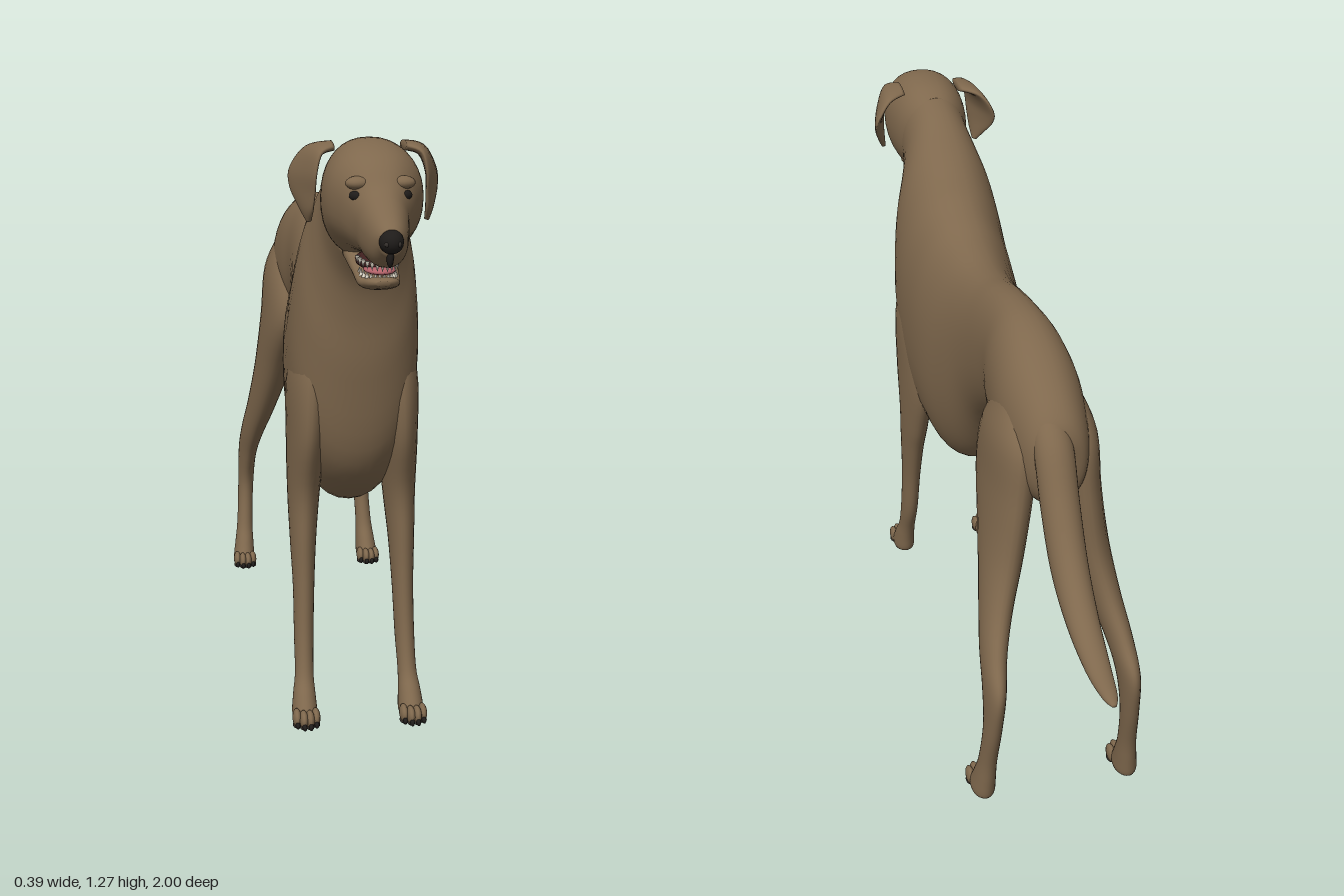
import * as THREE from 'three';

const mat = (name, color) => Object.assign(new THREE.MeshStandardMaterial({ color }), { name });
const coat = mat('brown coat', 0x7f684d);
const black = mat('nose and claw black', 0x1f1c1a);
const pad = mat('paw pad grey', 0x35302c);
const dusk = mat('dusky skin', 0x50463c);
const mouth = mat('mouth dark red', 0x40201f);
const pink = mat('tongue pink', 0xb3636a);
const ivory = mat('tooth ivory', 0xe6dfcf);

// Skin over oval rings. Row: edge point a (x,y,z), opposite edge point b (x,y,z), half width.
function loft(rows, { steps = 5, sides = 28, power = 1 } = {}) {
  const at = (i) => rows[Math.max(0, Math.min(rows.length - 1, i))];
  const rings = [];
  for (let s = 0; s <= (rows.length - 1) * steps; s++) {
    const i = Math.min(Math.floor(s / steps), rows.length - 2), t = s / steps - i;
    rings.push(rows[0].map((_, k) => {
      const [p, q, r, u] = [at(i - 1)[k], at(i)[k], at(i + 1)[k], at(i + 2)[k]];
      return q + 0.5 * t * (r - p + t * (2 * p - 5 * q + 4 * r - u + t * (3 * (q - r) + u - p)));
    }));
  }
  const A = rings.map((r) => new THREE.Vector3(r[0], r[1], r[2]));
  const B = rings.map((r) => new THREE.Vector3(r[3], r[4], r[5]));
  const C = A.map((a, i) => a.clone().add(B[i]).multiplyScalar(0.5));
  const pos = [], idx = [], n = rings.length;
  const bend = (v) => Math.sign(v) * Math.abs(v) ** power;
  for (let i = 0; i < n; i++) {
    const along = C[Math.min(n - 1, i + 1)].clone().sub(C[Math.max(0, i - 1)]);
    const half = A[i].clone().sub(C[i]);
    const side = along.cross(half).normalize().multiplyScalar(Math.max(rings[i][6], 0.001));
    for (let j = 0; j < sides; j++) {
      const th = (j / sides) * Math.PI * 2;
      const p = C[i].clone().addScaledVector(half, bend(Math.cos(th))).addScaledVector(side, bend(Math.sin(th)));
      pos.push(p.x, p.y, p.z);
      if (i < n - 1) {
        const k = (j + 1) % sides, a = i * sides + j, b = i * sides + k;
        idx.push(a, b, b + sides, a, b + sides, a + sides);
      }
    }
  }
  // closing caps
  const last = (n - 1) * sides;
  pos.push(...C[0].toArray(), ...C[n - 1].toArray());
  for (let j = 0; j < sides; j++) {
    const k = (j + 1) % sides;
    idx.push(n * sides, k, j, n * sides + 1, last + j, last + k);
  }
  const g = new THREE.BufferGeometry();
  g.setAttribute('position', new THREE.Float32BufferAttribute(pos, 3));
  g.setIndex(idx);
  g.computeVertexNormals();
  return g;
}

// Row helpers: [z, y] of both edges on one x plane
const mid = ([za, ya, zb, yb, w], x = 0) => [x, ya, za, x, yb, zb, w];
const limb = ([x, yf, zf, yb, zb, w], s) => [s * x, yf, zf, s * x, yb, zb, w];

export function createModel() {
  const dog = new THREE.Group();
  dog.name = 'dog';
  const add = (name, geo, material, parent = dog) => {
    const m = new THREE.Mesh(geo, material);
    m.name = name;
    parent.add(m);
    return m;
  };
  const blob = (name, material, p, s, parent = dog) => {
    const m = add(name, new THREE.SphereGeometry(1, 16, 12), material, parent);
    m.position.set(...p);
    m.scale.set(...s);
    return m;
  };

  // Trunk and neck, rump to nape
  add('body', loft([
    [-0.565, 0.86, -0.56, 0.80, 0.03], [-0.55, 0.90, -0.55, 0.72, 0.06],
    [-0.5, 0.945, -0.5, 0.69, 0.08], [-0.4, 1.0, -0.4, 0.69, 0.095],
    [-0.3, 1.03, -0.28, 0.72, 0.09], [-0.2, 1.033, -0.2, 0.735, 0.078],
    [-0.1, 1.02, -0.1, 0.70, 0.08], [0, 1.0, 0, 0.63, 0.09],
    [0.1, 0.995, 0.1, 0.50, 0.108], [0.2, 1.01, 0.18, 0.447, 0.125],
    [0.27, 1.035, 0.27, 0.437, 0.134], [0.33, 1.065, 0.40, 0.455, 0.138],
    [0.38, 1.11, 0.52, 0.56, 0.136], [0.43, 1.15, 0.565, 0.75, 0.122],
    [0.48, 1.19, 0.58, 0.88, 0.1], [0.53, 1.22, 0.60, 0.96, 0.085],
    [0.58, 1.24, 0.64, 1.02, 0.08],
  ].map((r) => mid(r)), { sides: 40, power: 0.92 }), coat);

  // Skull and muzzle
  add('head', loft([
    [0.55, 1.225, 0.57, 1.05, 0.065], [0.62, 1.257, 0.62, 1.03, 0.088],
    [0.70, 1.266, 0.69, 1.03, 0.098], [0.77, 1.255, 0.74, 1.048, 0.094],
    [0.82, 1.23, 0.79, 1.053, 0.074], [0.86, 1.19, 0.83, 1.052, 0.054],
    [0.90, 1.168, 0.88, 1.047, 0.046], [0.955, 1.143, 0.93, 1.052, 0.035],
    [0.978, 1.128, 0.965, 1.08, 0.022],
  ].map((r) => mid(r)), { sides: 36, power: 0.9 }), coat);
  add('lowerJaw', loft([
    [0.69, 1.07, 0.68, 1.02, 0.055], [0.76, 1.037, 0.75, 1.004, 0.046],
    [0.82, 1.02, 0.81, 0.99, 0.041], [0.86, 1.021, 0.855, 0.998, 0.031],
    [0.877, 1.016, 0.875, 1.006, 0.012],
  ].map((r) => mid(r)), { power: 0.85 }), coat);
  blob('mouthInterior', mouth, [0, 1.04, 0.775], [0.04, 0.018, 0.07]);
  blob('tongue', pink, [0, 1.03, 0.82], [0.031, 0.009, 0.05]);
  blob('nose', black, [0, 1.106, 0.973], [0.023, 0.023, 0.027]);
  blob('philtrum', black, [0, 1.077, 0.957], [0.007, 0.022, 0.014]);

  // Teeth along both jaws
  const toothGeo = new THREE.ConeGeometry(0.005, 0.016, 6);
  for (let i = 0; i < 14; i++) {
    const a = (i / 13) * Math.PI, x = Math.cos(a), z = Math.sin(a);
    add('upperTooth', toothGeo, ivory).position.set(0.038 * x, 1.044, 0.79 + 0.105 * z);
    const upper = dog.children[dog.children.length - 1];
    upper.rotation.x = Math.PI;
    add('lowerTooth', toothGeo, ivory).position.set(0.034 * x, 1.023, 0.79 + 0.07 * z);
  }

  // Tail
  add('tail', loft([
    [-0.49, 0.945, -0.49, 0.85, 0.04], [-0.58, 0.87, -0.53, 0.80, 0.042],
    [-0.64, 0.77, -0.57, 0.71, 0.041], [-0.71, 0.67, -0.65, 0.60, 0.039],
    [-0.80, 0.59, -0.76, 0.538, 0.034], [-0.90, 0.541, -0.88, 0.505, 0.026],
    [-0.97, 0.522, -0.965, 0.50, 0.016], [-0.999, 0.512, -0.998, 0.505, 0.005],
  ].map((r) => mid(r, 0.012))), coat);

  // Underbelly sheath
  add('sheath', loft([
    [-0.22, 0.745, -0.22, 0.71, 0.02], [-0.16, 0.73, -0.16, 0.685, 0.022],
    [-0.11, 0.71, -0.115, 0.655, 0.018], [-0.088, 0.68, -0.09, 0.658, 0.008],
  ].map((r) => mid(r))), dusk);

  const foreleg = [
    [0.08, 0.87, 0.49, 0.85, 0.35, 0.025], [0.093, 0.75, 0.53, 0.73, 0.30, 0.045],
    [0.099, 0.62, 0.53, 0.58, 0.29, 0.041], [0.104, 0.49, 0.485, 0.45, 0.335, 0.034],
    [0.107, 0.38, 0.482, 0.37, 0.372, 0.028], [0.108, 0.28, 0.487, 0.27, 0.408, 0.023],
    [0.11, 0.18, 0.50, 0.16, 0.435, 0.021], [0.112, 0.10, 0.522, 0.09, 0.468, 0.020],
    [0.114, 0.06, 0.55, 0.05, 0.482, 0.024], [0.115, 0.025, 0.575, 0.015, 0.49, 0.027],
    [0.115, 0.005, 0.57, 0.005, 0.50, 0.023],
  ];
  const hindleg = [
    [0.05, 0.92, -0.36, 0.89, -0.47, 0.03], [0.064, 0.82, -0.27, 0.82, -0.53, 0.052],
    [0.075, 0.71, -0.245, 0.70, -0.537, 0.052], [0.095, 0.58, -0.33, 0.56, -0.54, 0.045],
    [0.12, 0.45, -0.42, 0.46, -0.565, 0.035], [0.14, 0.36, -0.49, 0.38, -0.61, 0.028],
    [0.15, 0.29, -0.54, 0.31, -0.657, 0.023], [0.155, 0.21, -0.572, 0.21, -0.64, 0.02],
    [0.16, 0.11, -0.555, 0.11, -0.61, 0.02], [0.163, 0.06, -0.53, 0.05, -0.60, 0.024],
    [0.165, 0.025, -0.51, 0.015, -0.595, 0.027], [0.165, 0.005, -0.515, 0.005, -0.59, 0.023],
  ];
  const ear = [
    [0.07, 1.248, 0.69, 0.07, 1.245, 0.61, 0.01], [0.098, 1.238, 0.712, 0.115, 1.235, 0.58, 0.011],
    [0.108, 1.20, 0.718, 0.145, 1.195, 0.566, 0.01], [0.11, 1.16, 0.706, 0.147, 1.16, 0.585, 0.009],
    [0.113, 1.125, 0.692, 0.132, 1.125, 0.622, 0.008], [0.115, 1.10, 0.667, 0.119, 1.10, 0.648, 0.005],
  ];

  // Toes, claws and pads; z is the paw's centre
  const paw = (name, x, z) => {
    const g = new THREE.Group();
    g.name = name;
    g.position.set(x, 0, z);
    dog.add(g);
    for (const t of [-1.5, -0.5, 0.5, 1.5]) {
      const tz = Math.abs(t) < 1 ? 0.024 : 0.012;
      blob('toe', coat, [t * 0.0135, 0.021, tz], [0.0095, 0.019, 0.025], g);
      blob('claw', black, [t * 0.0135, 0.012, tz + 0.021], [0.005, 0.008, 0.011], g);
      blob('toePad', pad, [t * 0.0135, 0.006, tz + 0.002], [0.009, 0.006, 0.017], g);
    }
    blob('heelPad', pad, [0, 0.006, -0.018], [0.02, 0.006, 0.02], g);
  };

  // Paired parts
  for (const [s, side] of [[1, 'left'], [-1, 'right']]) {
    add(side + 'Foreleg', loft(foreleg.map((r) => limb(r, s))), coat);
    add(side + 'HindLeg', loft(hindleg.map((r) => limb(r, s))), coat);
    add(side + 'Ear', loft(ear.map(([a, b, c, d, e, f, w]) => [s * a, b, c, s * d, e, f, w])), coat);
    paw(side + 'ForePaw', s * 0.115, 0.556);
    paw(side + 'HindPaw', s * 0.165, -0.53);
    const eye = blob(side + 'Eye', black, [s * 0.046, 1.172, 0.836], [0.016, 0.01, 0.011]);
    eye.rotation.y = s * 0.7;
    blob(side + 'Brow', coat, [s * 0.043, 1.195, 0.827], [0.024, 0.013, 0.02]);
    blob(side + 'Nostril', pad, [s * 0.011, 1.104, 0.994], [0.005, 0.005, 0.004]);
  }
  return dog;
}
